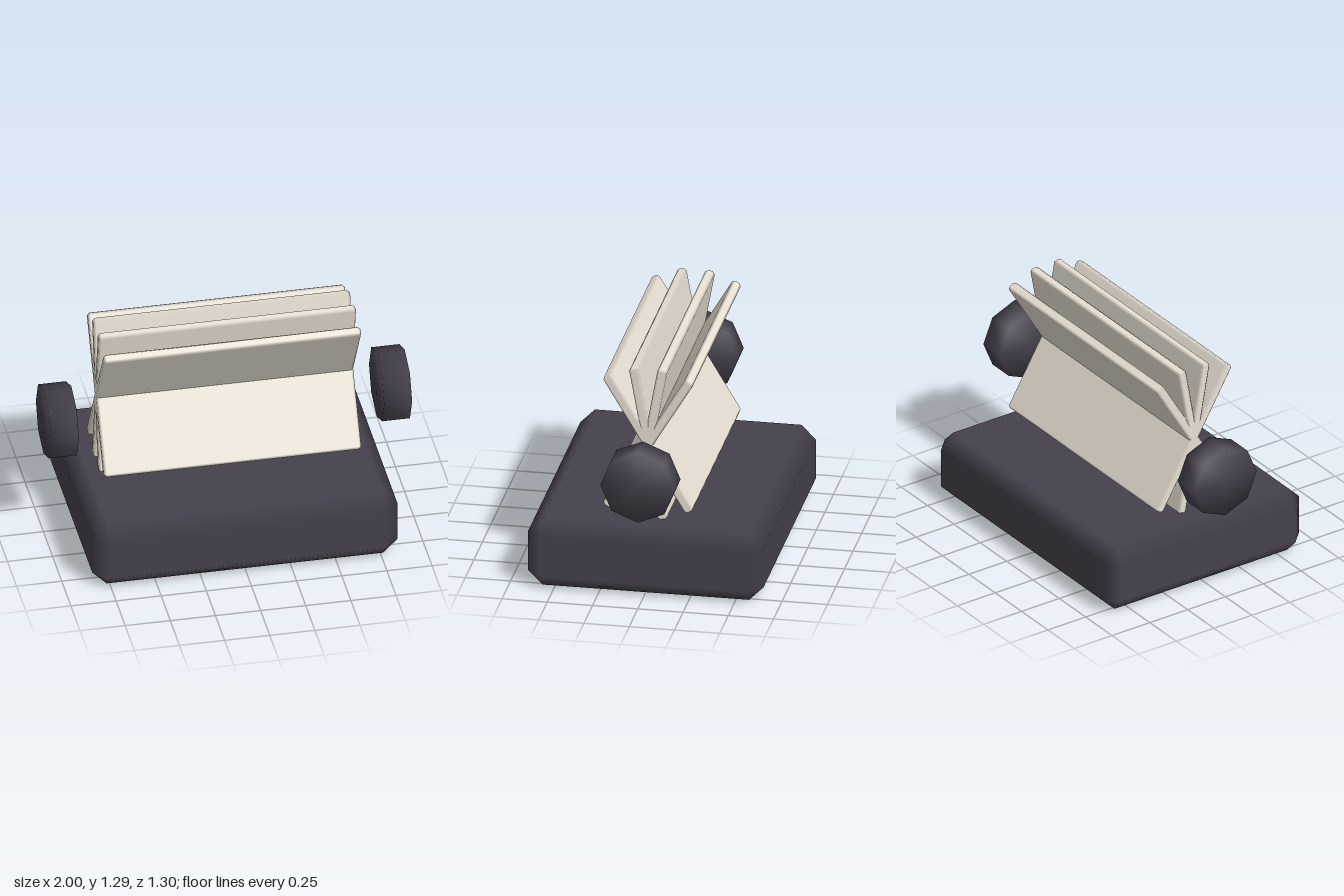
import * as THREE from 'three';
import { ConvexGeometry } from 'three/addons/geometries/ConvexGeometry.js';
import { mergeVertices } from 'three/addons/utils/BufferGeometryUtils.js';

// Box with a single chamfer on every edge, shaded softly across the chamfers.
function chamferBox(w, h, d, c) {
  const half = [w / 2, h / 2, d / 2];
  const points = [];
  for (let axis = 0; axis < 3; axis++)
    for (const sx of [-1, 1]) for (const sy of [-1, 1]) for (const sz of [-1, 1]) {
      const p = [sx, sy, sz].map((s, i) => s * (i === axis ? half[i] : half[i] - c));
      points.push(new THREE.Vector3(...p));
    }
  const geo = new ConvexGeometry(points);
  // Every corner lies on exactly one main face and takes that face's normal
  const pos = geo.attributes.position, nor = geo.attributes.normal;
  for (let i = 0; i < pos.count; i++) {
    const p = [pos.getX(i), pos.getY(i), pos.getZ(i)];
    const n = p.map((v, k) => (Math.abs(v) > half[k] - c / 2 ? Math.sign(v) : 0));
    nor.setXYZ(i, ...n);
  }
  return geo;
}

export function createModel() {
  const model = new THREE.Group();
  model.name = 'flipCardStand';
  const dark = new THREE.MeshStandardMaterial({ color: 0x45414d });
  const cream = new THREE.MeshStandardMaterial({ color: 0xe8e0d3 });

  function add(name, geometry, material, x, y, z) {
    const mesh = new THREE.Mesh(geometry, material);
    mesh.name = name;
    mesh.position.set(x, y, z);
    model.add(mesh);
    return mesh;
  }

  // Heavy chamfered base
  add('base', chamferBox(1.69, 0.39, 1.3, 0.08), dark, 0, 0.195, 0);

  // Four cards crossing on one horizontal axis, fanned evenly
  const cardGeo = chamferBox(1.424, 0.898, 0.054, 0.014);
  for (let i = 0; i < 4; i++) {
    add('card' + (i + 1), cardGeo, cream, 0, 0.848, 0).rotation.x = (i - 1.5) * 0.36;
  }

  // Eight-sided side knobs with soft shading over the rims
  let knobGeo = new THREE.CylinderGeometry(0.207, 0.207, 0.155, 8);
  knobGeo.deleteAttribute('normal');
  knobGeo.deleteAttribute('uv');
  knobGeo = mergeVertices(knobGeo, 1e-4);
  knobGeo.rotateZ(Math.PI / 2);
  knobGeo.computeVertexNormals();
  for (const s of [-1, 1]) {
    add(s > 0 ? 'leftKnob' : 'rightKnob', knobGeo, dark, s * 0.9225, 0.716, 0);
  }

  return model;
}
